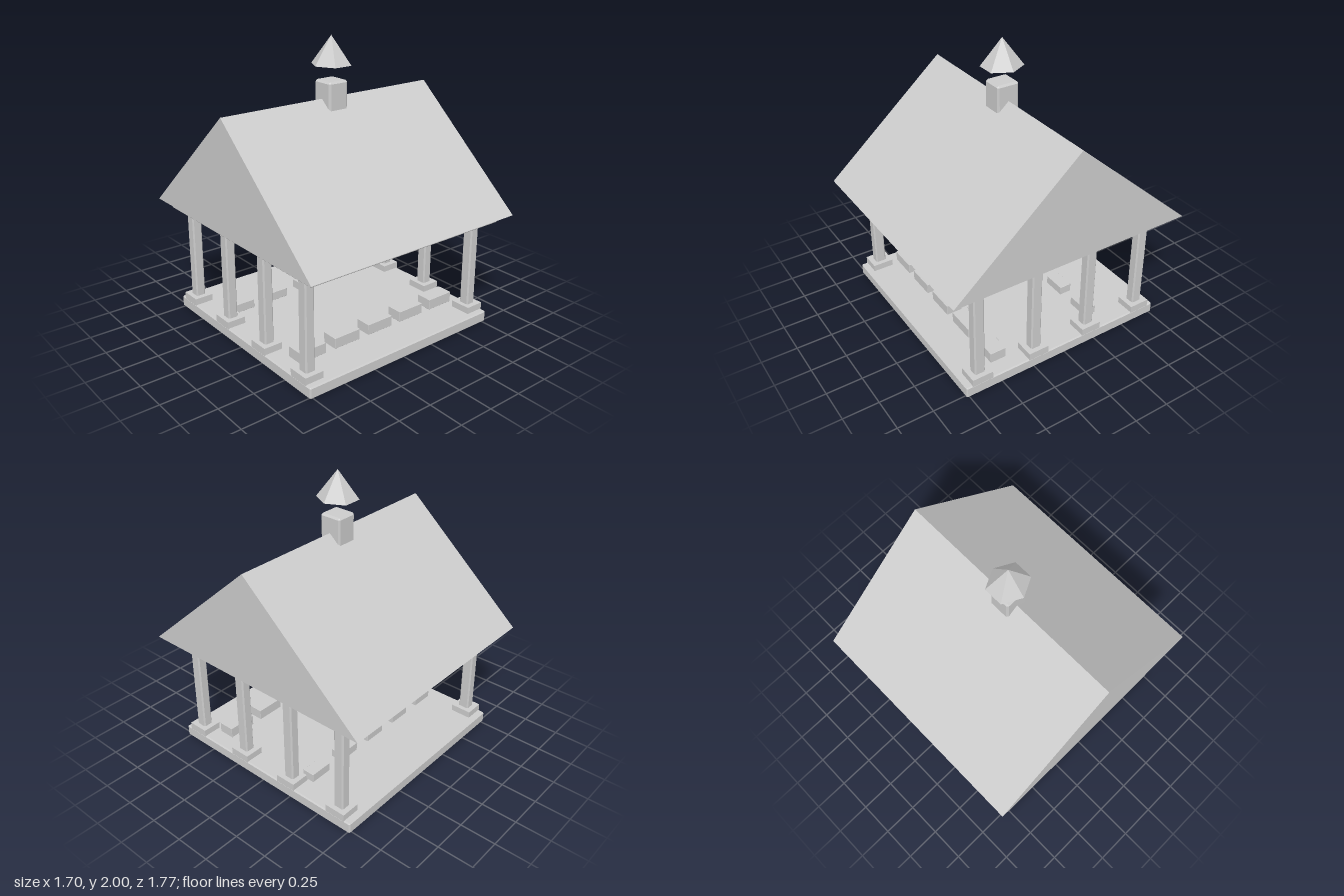
import * as THREE from 'three';
import { ConvexGeometry } from 'three/addons/geometries/ConvexGeometry.js';

// Box with one flat chamfer of size c along every edge, spanning y0..y1
function chamferBox(w, y0, y1, d, c) {
  const half = [w / 2, (y1 - y0) / 2, d / 2];
  const points = [];
  for (const sx of [-1, 1]) for (const sy of [-1, 1]) for (const sz of [-1, 1]) {
    for (let face = 0; face < 3; face++) {
      const p = [sx, sy, sz].map((s, i) => s * (half[i] - (i === face ? 0 : c)));
      points.push(new THREE.Vector3(...p));
    }
  }
  return new ConvexGeometry(points).translate(0, (y0 + y1) / 2, 0);
}

function plainBox(w, y0, y1, d) {
  return new THREE.BoxGeometry(w, y1 - y0, d).translate(0, (y0 + y1) / 2, 0);
}

export function createModel() {
  const group = new THREE.Group();
  const stone = new THREE.MeshStandardMaterial({ color: 0xcccccc });
  stone.name = 'paleStone';
  stone.flatShading = true;

  const add = (name, geometry, x = 0, z = 0) => {
    const mesh = new THREE.Mesh(geometry, stone);
    mesh.name = name;
    mesh.position.set(x, 0, z);
    group.add(mesh);
  };

  // Floor slab and the frame slab under the roof
  add('floor', chamferBox(1.55, 0, 0.08, 1.54, 0.008));
  add('ceiling', chamferBox(1.58, 0.76, 0.825, 1.61, 0.006));

  // Four columns with footings along each side
  const column = chamferBox(0.07, 0.08, 0.77, 0.076, 0.009);
  const footing = plainBox(0.136, 0.075, 0.127, 0.15);
  for (const x of [-0.708, 0.708]) {
    for (const z of [-0.648, -0.217, 0.217, 0.65]) {
      add('column', column, x, z);
      add('footing', footing, x, z);
    }
  }

  // Two rows of low blocks, the back row smaller
  const frontBlock = chamferBox(0.208, 0.09, 0.165, 0.116, 0.002);
  const backBlock = chamferBox(0.165, 0.098, 0.16, 0.088, 0.002);
  for (let i = -2; i <= 2; i++) {
    add('frontBlock', frontBlock, i * 0.283, 0.467);
    add('backBlock', backBlock, i * 0.283, -0.307);
  }

  // Solid gable roof with its ridge along x
  const gable = new THREE.Shape([
    new THREE.Vector2(-0.885, 0.82),
    new THREE.Vector2(0.885, 0.82),
    new THREE.Vector2(0, 1.592),
  ]);
  const roof = new THREE.ExtrudeGeometry(gable, { depth: 1.698, bevelEnabled: false });
  add('roof', roof.translate(0, 0, -0.849).rotateY(Math.PI / 2));

  // Ridge turret and the six-sided cap floating above it
  add('turret', chamferBox(0.154, 1.45, 1.71, 0.162, 0.013));
  const cap = new THREE.ConeGeometry(0.132, 0.19, 6, 1, false, Math.PI / 2);
  add('turretCap', cap.scale(1, 1, 1.1).translate(0, 1.905, 0));

  return group;
}
